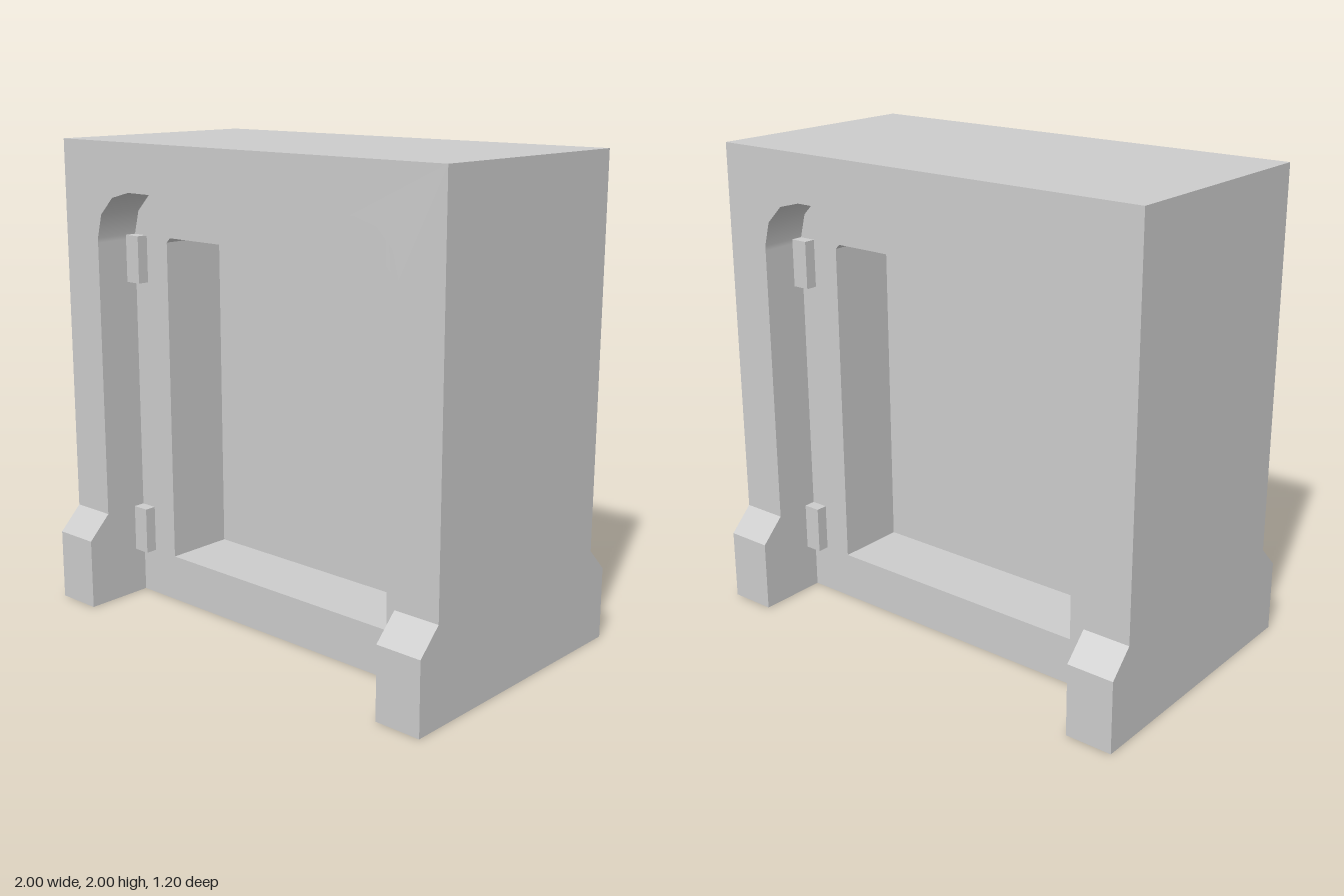
import * as THREE from 'three';
import { toCreasedNormals } from 'three/addons/utils/BufferGeometryUtils.js';

const grey = new THREE.MeshStandardMaterial({ color: 0xcccccc });
grey.name = 'grey';
const greyPane = new THREE.MeshStandardMaterial({ color: 0xcccccc, side: THREE.DoubleSide });
greyPane.name = 'grey pane';

const toPoints = (list) => list.map(([x, y]) => new THREE.Vector2(x, y));

// Outline of the doorway: straight jambs and rounded upper corners
function archPoints() {
  const right = [[0.8, 0], [0.8, 1.58]];
  for (let i = 0; i <= 3; i++) {
    const a = (i * Math.PI) / 6;
    right.push([0.6 + 0.2 * Math.cos(a), 1.6 + 0.2 * Math.sin(a)]);
  }
  right.push([0.58, 1.8]);
  const left = right.map(([x, y]) => [-x, y]).reverse();
  return [...right, ...left];
}

// Outline of the window, with small clipped upper corners
const windowPoints = [[-0.6, 0.2], [0.6, 0.2], [0.6, 1.58], [0.58, 1.6], [-0.58, 1.6], [-0.6, 1.58]];

function extrude(shape, depth) {
  return new THREE.ExtrudeGeometry(shape, { depth, bevelEnabled: false });
}

function addMesh(parent, name, geometry, material = grey) {
  const mesh = new THREE.Mesh(geometry, material);
  mesh.name = name;
  parent.add(mesh);
  return mesh;
}

// Feet and hinges belonging to one face
function createFaceDetails(name) {
  const group = new THREE.Group();
  group.name = name;
  const toe = new THREE.Shape(toPoints([[0.5, 0], [0.6, 0], [0.6, 0.3], [0.5, 0.4]]));
  const footGeometry = extrude(toe, 0.2).rotateY(-Math.PI / 2).translate(0.1, 0, 0);
  const hingeGeometry = new THREE.BoxGeometry(0.075, 0.2, 0.05);
  for (const side of [-1, 1]) {
    const label = side > 0 ? 'left' : 'right';
    addMesh(group, label + 'Foot', footGeometry).position.x = side * 0.9;
    for (const [level, y] of [['Lower', 0.3], ['Upper', 1.5]]) {
      addMesh(group, label + level + 'Hinge', hingeGeometry).position.set(side * 0.7625, y, 0.325);
    }
  }
  return group;
}

export function createModel() {
  const model = new THREE.Group();
  model.name = 'doorFrame';

  // Outer frame, open at the bottom
  const frame = new THREE.Shape(toPoints([
    [-0.8, 0], [-1, 0], [-1, 2], [1, 2], [1, 0], ...archPoints().slice(0, -1),
  ]));
  // the outline runs up the right jamb, over the arch and down the left jamb
  frame.closePath();
  addMesh(model, 'frame', toCreasedNormals(extrude(frame, 1).translate(0, 0, -0.5), 0.6));

  // Door set back inside the frame, cut through by the window
  const door = new THREE.Shape(toPoints(archPoints()));
  door.holes.push(new THREE.Path(toPoints(windowPoints)));
  addMesh(model, 'door', extrude(door, 0.6).translate(0, 0, -0.3));

  // Thin pane in the middle of the window
  addMesh(model, 'windowPane', new THREE.ShapeGeometry(new THREE.Shape(toPoints(windowPoints))), greyPane);

  // Same details on both faces
  model.add(createFaceDetails('frontDetails'));
  const back = createFaceDetails('backDetails');
  back.rotation.y = Math.PI;
  model.add(back);

  return model;
}
